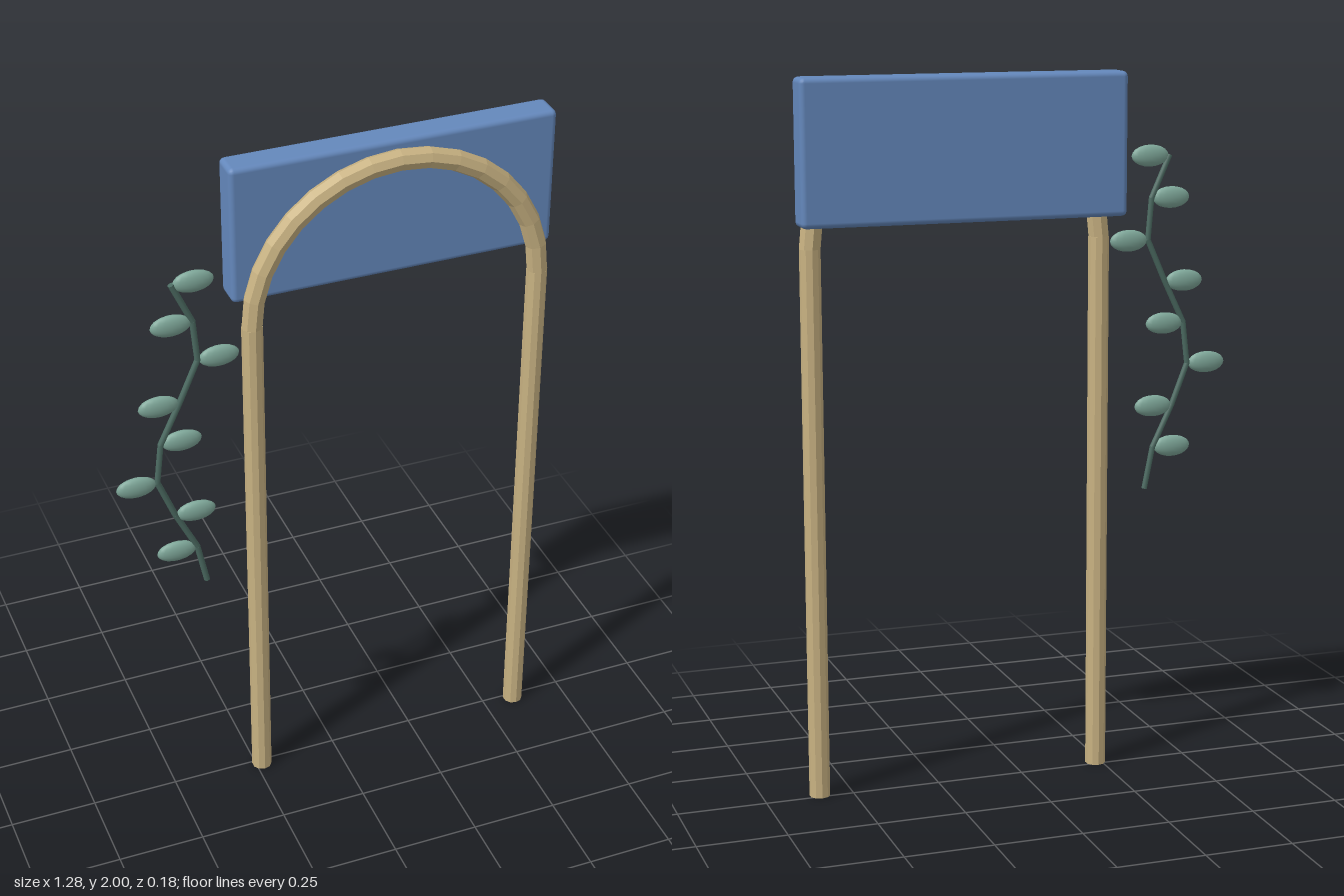
import * as THREE from 'three';
import { RoundedBoxGeometry } from 'three/addons/geometries/RoundedBoxGeometry.js';

function material(name, color, flatShading = false) {
  const m = new THREE.MeshStandardMaterial({ color, flatShading });
  m.name = name;
  return m;
}

export function createModel() {
  const group = new THREE.Group();
  const wood = material('pale wood', 0xc8b282, true);
  const blue = material('panel blue', 0x6488bc);
  const leafGreen = material('leaf green', 0x7fa89a);
  const stemGreen = material('stem green', 0x4c6b62);

  function add(name, geometry, mat, x, y, z, parent = group) {
    const mesh = new THREE.Mesh(geometry, mat);
    mesh.name = name;
    mesh.position.set(x, y, z);
    parent.add(mesh);
    return mesh;
  }

  // Archway: two posts joined by a half ring
  const cx = 0.181, span = 0.413, springY = 1.54, archZ = 0.014;
  const post = new THREE.CylinderGeometry(0.029, 0.029, springY, 10);
  add('leftPost', post, wood, cx + span, springY / 2, archZ);
  add('rightPost', post, wood, cx - span, springY / 2, archZ);
  add('arch', new THREE.TorusGeometry(span, 0.03, 8, 16, Math.PI), wood, cx, springY, archZ);

  // Back panel behind the arch
  add('panel', new RoundedBoxGeometry(0.918, 0.395, 0.086, 2, 0.015), blue, cx, 1.8025, -0.048);

  // Hanging vine: straight stem pieces with a leaf at each joint, alternating sides
  const vine = new THREE.Group();
  vine.name = 'vine';
  vine.position.z = 0.075;
  group.add(vine);
  const points = [
    [-0.468, 1.752], [-0.415, 1.633], [-0.405, 1.514], [-0.458, 1.394], [-0.516, 1.273],
    [-0.53, 1.153], [-0.484, 1.034], [-0.426, 0.913], [-0.402, 0.793],
  ].map(([x, y]) => new THREE.Vector3(x, y, 0));
  const up = new THREE.Vector3(0, 1, 0);
  const leaf = new THREE.SphereGeometry(1, 16, 10).scale(0.056, 0.031, 0.016);

  for (let i = 0; i < points.length - 1; i++) {
    const a = points[i], b = points[i + 1];
    const dir = a.clone().sub(b);
    const mid = a.clone().add(b).multiplyScalar(0.5);
    const stem = add('stem', new THREE.CylinderGeometry(0.0085, 0.0085, dir.length() + 0.003, 8),
      stemGreen, mid.x, mid.y, 0, vine);
    stem.quaternion.setFromUnitVectors(up, dir.normalize());
    const side = i % 2 === 0 ? 1 : -1;
    add('leaf', leaf, leafGreen, a.x + side * 0.059, a.y, 0, vine);
  }
  return group;
}
